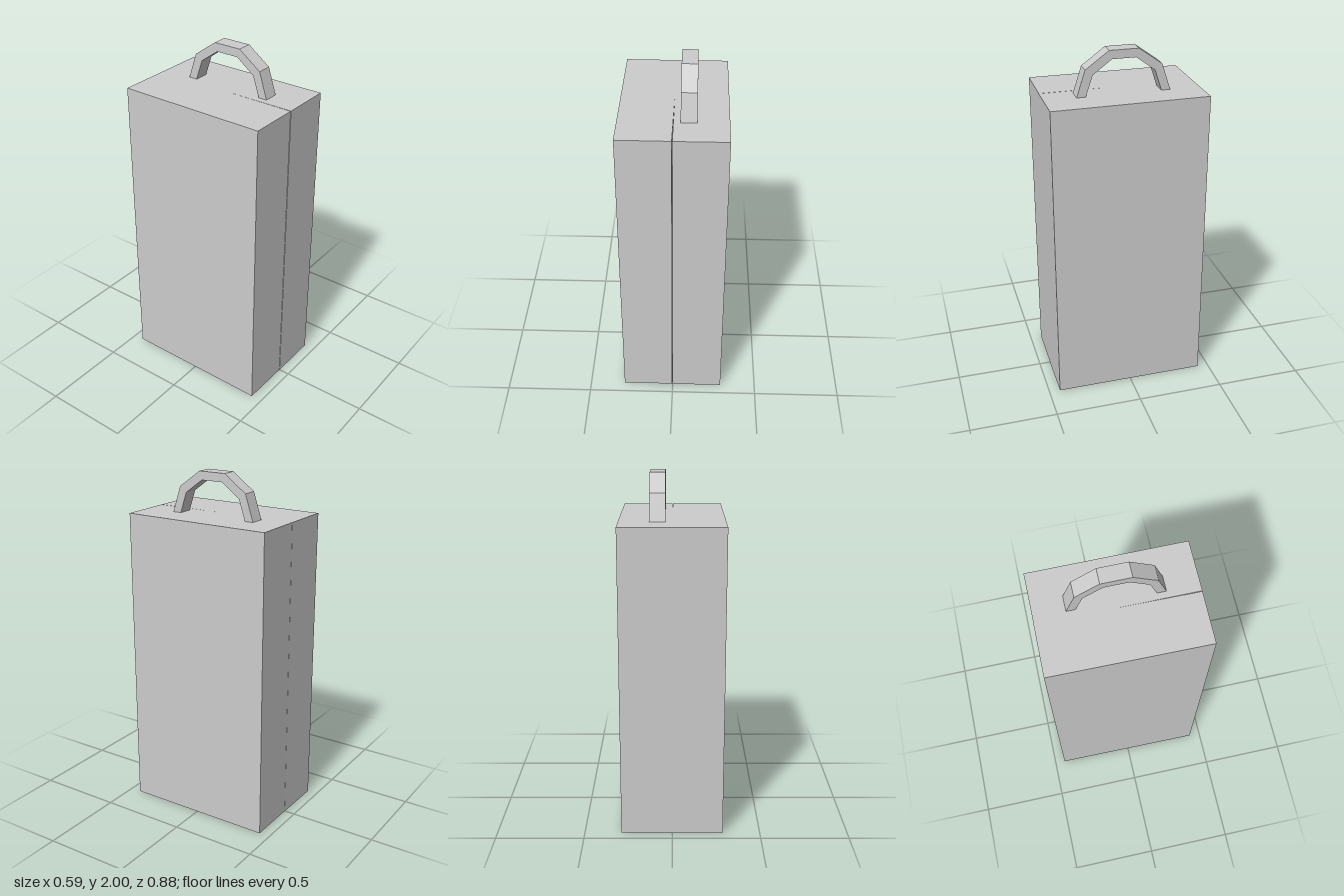
import * as THREE from 'three';

export function createModel() {
  const group = new THREE.Group();
  const material = new THREE.MeshStandardMaterial({ color: 0xcccccc, flatShading: true });
  const H = 1.757, W = 0.291, D = 0.873;

  const add = (name, geometry, x, y, z, turn = 0) => {
    const mesh = new THREE.Mesh(geometry, material);
    mesh.name = name;
    mesh.position.set(x, y, z);
    mesh.rotation.y = turn;
    group.add(mesh);
  };

  // Two case halves; the right one is hinged very slightly open at the front
  add('leftShell', new THREE.BoxGeometry(W, H, D), W / 2, H / 2, 0);
  add('rightShell', new THREE.BoxGeometry(W, H, D), -0.1455, H / 2, -0.002, -0.0075);

  // Faceted arch handle: outer outline, then inner outline mirrored back
  const outer = [[0.261, 0], [0.213, 0.148], [0.082, 0.243]];
  const inner = [[0.211, 0], [0.172, 0.117], [0.066, 0.195]];
  const mirror = (points) => points.map(([z, y]) => [-z, y]).reverse();
  const outline = [...outer, ...mirror(outer), ...mirror(inner).reverse(), ...inner.slice().reverse()];
  const shape = new THREE.Shape(outline.map(([z, y]) => new THREE.Vector2(z, y)));
  const handle = new THREE.ExtrudeGeometry(shape, { depth: 0.086, bevelEnabled: false });
  handle.translate(0, 0, -0.043).rotateY(-Math.PI / 2);
  add('handle', handle, 0.08, H, -0.004);

  return group;
}
